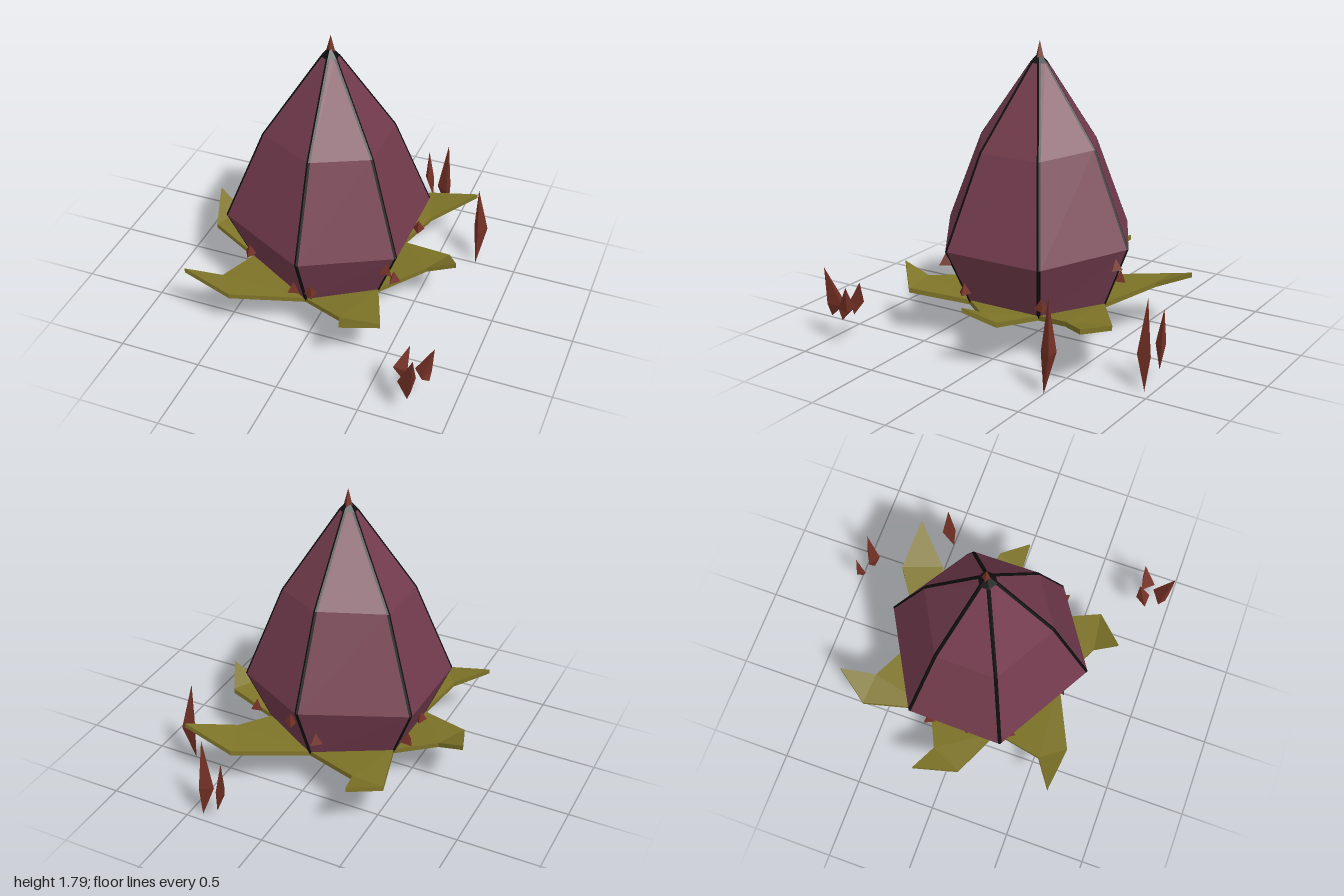
import * as THREE from 'three';

const material = (name, color) => {
  const m = new THREE.MeshStandardMaterial({ color, flatShading: true, side: THREE.DoubleSide });
  m.name = name;
  return m;
};

// Flat polygons (arrays of Vector3, counter-clockwise from outside) to a mesh
function polyMesh(name, polys, mat) {
  const pos = [];
  for (const p of polys)
    for (let i = 1; i < p.length - 1; i++)
      for (const v of [p[0], p[i], p[i + 1]]) pos.push(v.x, v.y, v.z);
  const g = new THREE.BufferGeometry();
  g.setAttribute('position', new THREE.Float32BufferAttribute(pos, 3));
  g.computeVertexNormals();
  const mesh = new THREE.Mesh(g, mat);
  mesh.name = name;
  return mesh;
}

const V = (x, y, z) => new THREE.Vector3(x, y, z);

export function createModel() {
  const purple = material('petal purple', 0x743c4e);
  const black = material('seam black', 0x0e0e0e);
  const olive = material('leaf olive', 0x7e7428);
  const brown = material('thorn brown', 0x743125);
  const model = new THREE.Group();
  model.name = 'thornyBud';

  // Bud cross-section: a slightly irregular hexagon, scaled at each height
  const cx = -0.045, cz = 0.025;
  const hex = [[-0.02, -0.6], [0.48, -0.3], [0.485, 0.34], [-0.01, 0.66], [-0.61, 0.31], [-0.6, -0.28]];
  const rings = [[0.25, 0.75, 0], [0.6, 1, 0.04], [1.17, 0.63, 0.03], [1.67, 0.09, 0]];
  const corner = (i, [y, s, lift]) => {
    const [x, z] = hex[i % 6];
    return V(cx + (x - cx) * s, y + (i % 3 === 0 ? lift : 0), cz + (z - cz) * s);
  };
  // Point on a ring edge, a fixed distance in from corner i towards corner j
  const inset = (i, j, ring) => {
    const a = corner(i, ring), b = corner(j, ring);
    return a.clone().add(b.sub(a).setLength(0.013));
  };

  const bud = new THREE.Group();
  bud.name = 'bud';
  const seams = [];
  for (let i = 0; i < 6; i++) {
    const next = (i + 1) % 6, prev = (i + 5) % 6, panels = [];
    for (let r = 0; r < 3; r++) {
      const lo = rings[r], hi = rings[r + 1];
      panels.push([inset(next, i, lo), inset(i, next, lo), inset(i, next, hi), inset(next, i, hi)]);
      seams.push([inset(i, next, lo), corner(i, lo), corner(i, hi), inset(i, next, hi)]);
      seams.push([corner(i, lo), inset(i, prev, lo), inset(i, prev, hi), corner(i, hi)]);
    }
    seams.push([corner(next, rings[3]), corner(i, rings[3]), V(cx, 1.73, cz)]);
    bud.add(polyMesh('petal', panels, purple));
  }
  bud.add(polyMesh('petalSeams', seams, black));
  model.add(bud);

  // Leaves: one per hexagon side, given as [outer corner, tip, outer corner]
  const leaves = [
    [[0.36, -0.71], [0.68, -0.69], [0.45, -0.46]],
    [[0.67, -0.14], [0.76, 0.03], [0.58, 0.03]],
    [[0.49, 0.61], [0.3, 0.78], [0.25, 0.64]],
    [[-0.43, 0.69], [-0.73, 0.66], [-0.54, 0.54]],
    [[-0.79, 0.1], [-0.88, -0.16], [-0.7, -0.09]],
    [[-0.58, -0.61], [-0.44, -0.81], [-0.38, -0.6]],
  ];
  leaves.forEach(([m1, tip, m2], i) => {
    const a = corner(i, rings[0]), b = corner(i + 1, rings[0]);
    const outline = [V(a.x, 0.275, a.z), V(m1[0], 0.325, m1[1]), V(tip[0], 0.41, tip[1]),
      V(m2[0], 0.325, m2[1]), V(b.x, 0.275, b.z)];
    const under = outline.map((p) => V(p.x, p.y - 0.03, p.z));
    const faces = (p) => [[p[0], p[4], p[3], p[1]], [p[1], p[3], p[2]]];
    const sides = outline.slice(0, 4).map((p, k) => [p, outline[k + 1], under[k + 1], under[k]]);
    const leaf = new THREE.Group();
    leaf.name = 'leaf';
    leaf.add(polyMesh('leafTop', [...faces(outline), ...sides], olive));
    leaf.add(polyMesh('leafUnderside', faces(under).map((f) => f.reverse()), brown));
    model.add(leaf);
  });

  // Spike at the very top
  const spike = new THREE.Mesh(new THREE.ConeGeometry(0.035, 0.13, 4), brown);
  spike.name = 'topSpike';
  spike.position.set(-0.045, 1.735, 0.02);
  model.add(spike);

  // Small thorns around the lower bud
  const thorns = [
    [-0.46, 0.38, 0.32], [-0.08, 0.37, 0.53], [0.03, 0.38, 0.54], [0.44, 0.38, 0.24], [0.44, 0.54, 0.37],
    [0.42, 0.38, -0.28], [0.04, 0.56, -0.55], [-0.1, 0.44, -0.51], [-0.54, 0.37, -0.18], [-0.52, 0.38, 0.05],
  ];
  thorns.forEach(([x, y, z], i) => {
    const thorn = new THREE.Mesh(new THREE.ConeGeometry(0.042, 0.07, 3), brown);
    thorn.name = 'thorn';
    thorn.position.set(x, y, z);
    thorn.rotation.y = i * 1.3;
    model.add(thorn);
  });

  // Loose shards: [top, bottom, waist centre, waist radius, turn]
  const shards = [
    [[0.4, 0.55, -0.95], [0.42, 0.01, -0.95], [0.39, 0.22, -0.94], 0.05, 0.5],
    [[0.26, 0.45, -0.98], [0.3, 0.1, -0.98], [0.27, 0.24, -0.97], 0.034, 0],
    [[0.73, 0.57, -0.52], [0.745, 0.01, -0.5], [0.75, 0.26, -0.535], 0.05, 0],
    [[0.81, 0.48, 0.99], [0.78, 0.17, 0.97], [0.77, 0.25, 0.93], 0.062, 0.6],
    [[0.87, 0.41, 0.78], [0.86, 0.2, 0.82], [0.82, 0.25, 0.82], 0.055, 0.2],
    [[0.73, 0.4, 0.79], [0.72, 0.18, 0.85], [0.7, 0.27, 0.835], 0.05, 1],
  ];
  for (const [top, bottom, c, r, turn] of shards) {
    const waist = [0, 1, 2].map((k) => {
      const t = turn + (k * Math.PI * 2) / 3;
      return V(c[0] + r * Math.sin(t), c[1], c[2] + r * Math.cos(t));
    });
    const faces = [];
    waist.forEach((p, k) => {
      const q = waist[(k + 1) % 3];
      faces.push([p, q, V(...top)], [q, p, V(...bottom)]);
    });
    model.add(polyMesh('looseShard', faces, brown));
  }
  return model;
}
